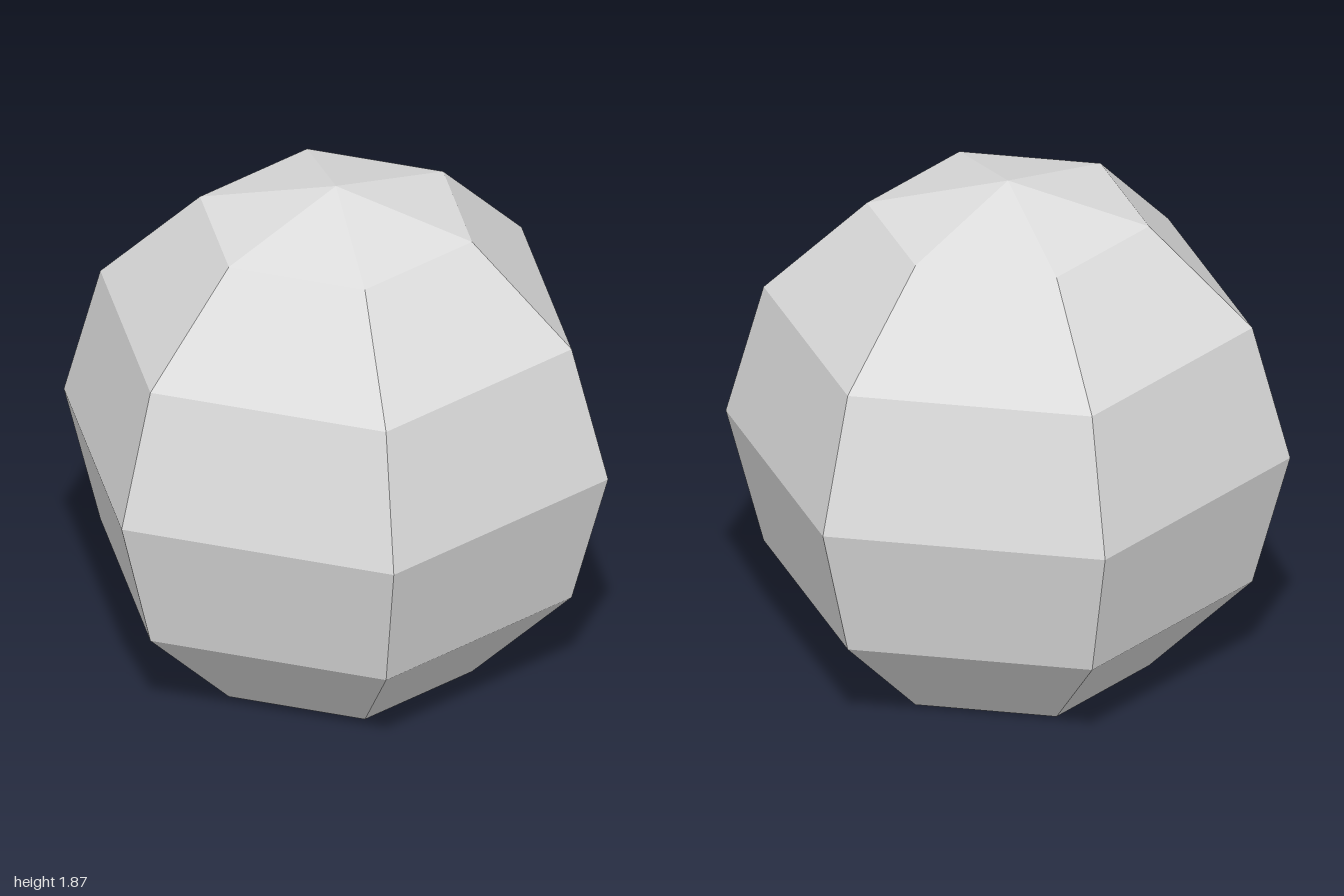
import * as THREE from 'three';

export function createModel() {
  const group = new THREE.Group();
  group.name = 'openDome';

  const lightGrey = new THREE.MeshStandardMaterial({
    color: 0xdddddd, flatShading: true, side: THREE.DoubleSide,
  });
  lightGrey.name = 'light grey';

  // Six-sided sphere of six bands, with the lowest band left out so the bottom is open
  const sides = 6, bands = 6;
  const theta = Math.PI * (bands - 1) / bands;
  const geometry = new THREE.SphereGeometry(1, sides, bands - 1, 0, Math.PI * 2, 0, theta);

  // Stand the open rim on the ground
  geometry.translate(0, -Math.cos(theta), 0);

  const shell = new THREE.Mesh(geometry, lightGrey);
  shell.name = 'shell';
  group.add(shell);
  return group;
}
